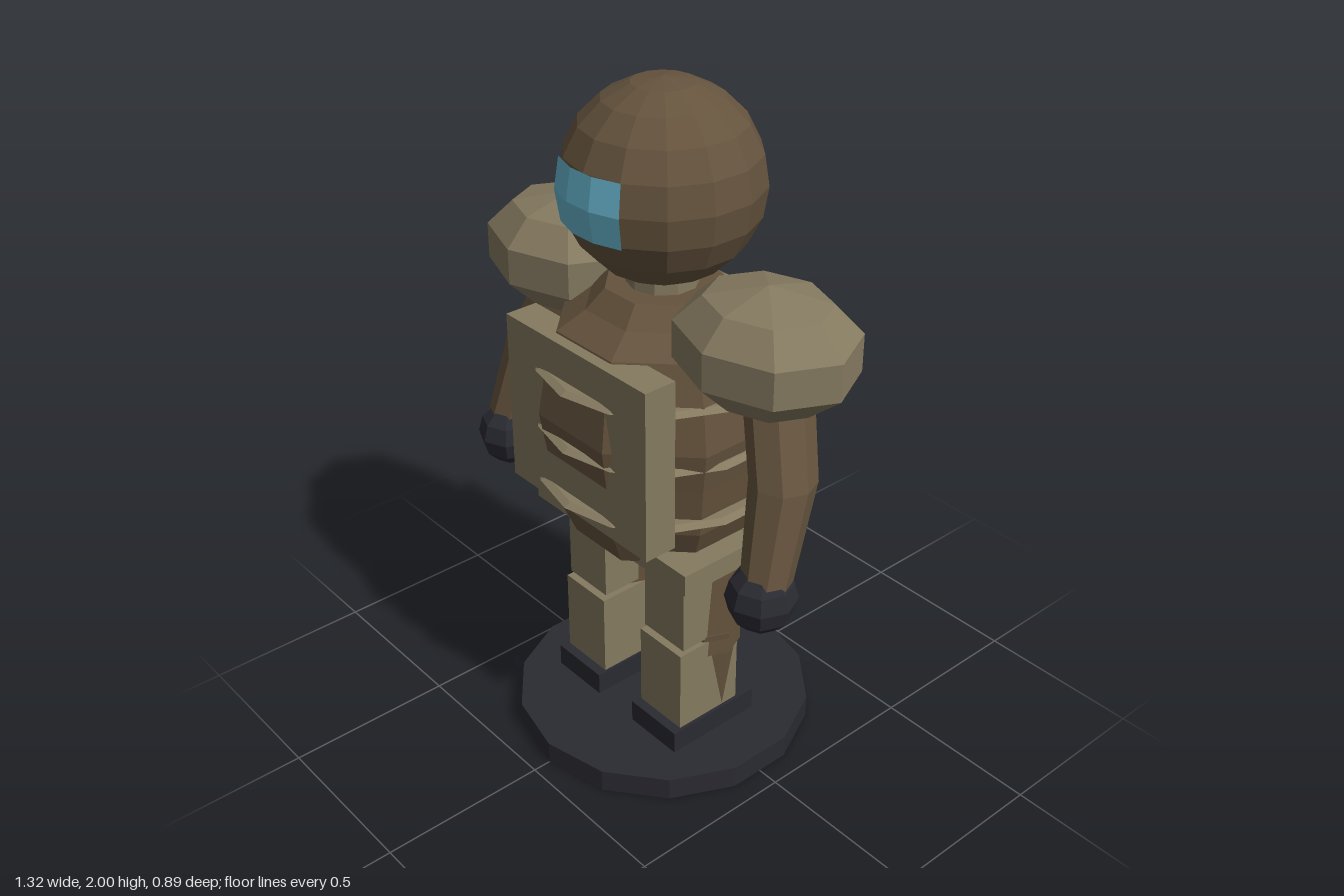
import * as THREE from 'three';

const mat = (color) => new THREE.MeshStandardMaterial({ color, flatShading: true });

export function createModel() {
  const model = new THREE.Group();
  const khaki = mat(0x857a60), brown = mat(0x65533d), dark = mat(0x2a2a32);
  const blue = mat(0x66b4cc), steel = mat(0x5a6672);

  const add = (name, geometry, material, x = 0, y = 0, z = 0) => {
    const mesh = new THREE.Mesh(geometry, material);
    mesh.name = name;
    mesh.position.set(x, y, z);
    model.add(mesh);
    return mesh;
  };
  // Box given by its lower and upper corners
  const box = (name, material, a, b) => add(name,
    new THREE.BoxGeometry(b[0] - a[0], b[1] - a[1], b[2] - a[2]), material,
    (a[0] + b[0]) / 2, (a[1] + b[1]) / 2, (a[2] + b[2]) / 2);
  // Turned solid from [radius, y] pairs, bottom to top
  const lathe = (profile, sides) =>
    new THREE.LatheGeometry(profile.map(([r, y]) => new THREE.Vector2(r, y)), sides);
  // Faceted limb through rings [x, y, z, radius], top to bottom
  const limb = (name, material, rings, side, sides = 8) => {
    const n = rings.length - 1;
    const g = new THREE.CylinderGeometry(1, 1, 1, sides, n);
    const p = g.attributes.position;
    for (let i = 0; i < p.count; i++) {
      const [x, y, z, r] = rings[Math.round((0.5 - p.getY(i)) * n)];
      p.setXYZ(i, x * side + p.getX(i) * r, y, z + p.getZ(i) * r);
    }
    g.computeVertexNormals();
    return add(name, g, material);
  };

  // Display stand
  add('base', new THREE.CylinderGeometry(0.445, 0.445, 0.07, 14), dark, 0, 0.035, 0);
  add('supportPole', new THREE.CylinderGeometry(0.04, 0.04, 0.65, 8), steel, 0, 0.39, 0);

  // Eight-sided torso; the profile holds the distance to the flat sides
  const k = 1 / Math.cos(Math.PI / 8);
  const torso = [[0, 0.69], [0.24, 0.69], [0.292, 0.82], [0.31, 0.97], [0.328, 1.09],
    [0.31, 1.21], [0.275, 1.335], [0.2, 1.385], [0.15, 1.44], [0, 1.44]];
  add('torso', lathe(torso.map(([r, y]) => [r * k, y]), 8), brown).rotation.y = Math.PI / 8;

  // Thin ribs around the torso
  for (const y of [0.865, 1.04, 1.215]) {
    const rib = lathe([[0.29, -0.011], [0.335, -0.011], [0.355, 0], [0.335, 0.011], [0.29, 0.011]], 14);
    add('torsoRib', rib, khaki, 0, y, 0);
  }

  // Armour plates and hip skirt
  box('chestPlate', khaki, [-0.29, 0.82, 0.21], [0.29, 1.33, 0.31]);
  box('backPlate', khaki, [-0.29, 0.82, -0.31], [0.29, 1.33, -0.21]);
  box('hipPlate', khaki, [-0.327, 0.677, -0.205], [0.327, 0.742, 0.205]);

  // Neck, helmet and visor
  add('neck', new THREE.CylinderGeometry(0.1, 0.1, 0.12, 10), khaki, 0, 1.45, 0);
  add('helmet', new THREE.SphereGeometry(0.275, 14, 10), brown, 0, 1.725, 0).rotation.y = Math.PI / 2;
  const half = 0.47, tilt = Math.PI / 10;
  add('visor', new THREE.SphereGeometry(0.285, 2, 2, Math.PI / 2 - half, half * 2,
    Math.PI / 2 - tilt, tilt * 2), blue, 0, 1.727, 0).material.side = THREE.DoubleSide;

  for (const s of [1, -1]) {
    // Shoulder pad
    const pad = lathe([[0, 1.25], [0.155, 1.26], [0.262, 1.35], [0.262, 1.455], [0.18, 1.53], [0, 1.57]], 8);
    add('shoulderPad', pad, khaki, 0.397 * s, 0, 0).scale.z = 0.84;

    // Arm and hand
    limb('arm', brown, [[0.39, 1.38, -0.04, 0.095], [0.52, 1.08, 0.045, 0.09], [0.56, 0.81, 0.135, 0.068]], s);
    add('hand', new THREE.SphereGeometry(0.098, 8, 6), dark, 0.55 * s, 0.773, 0.138);

    // Leg
    limb('thigh', brown, [[0.175, 0.73, -0.015, 0.1], [0.185, 0.35, -0.005, 0.1]], s);
    limb('shin', brown, [[0.185, 0.42, -0.005, 0.1], [0.17, 0.12, -0.005, 0.088]], s);

    // Leg armour and boot
    const mirrorBox = (name, material, x0, x1, y0, y1, z0, z1) =>
      box(name, material, [s > 0 ? x0 : -x1, y0, z0], [s > 0 ? x1 : -x0, y1, z1]);
    mirrorBox('thighPlate', khaki, 0.09, 0.257, 0.415, 0.7, 0.02, 0.147);
    mirrorBox('shinPlate', khaki, 0.085, 0.26, 0.13, 0.402, -0.06, 0.16);
    mirrorBox('boot', dark, 0.078, 0.27, 0.065, 0.14, -0.12, 0.19);
  }
  return model;
}
